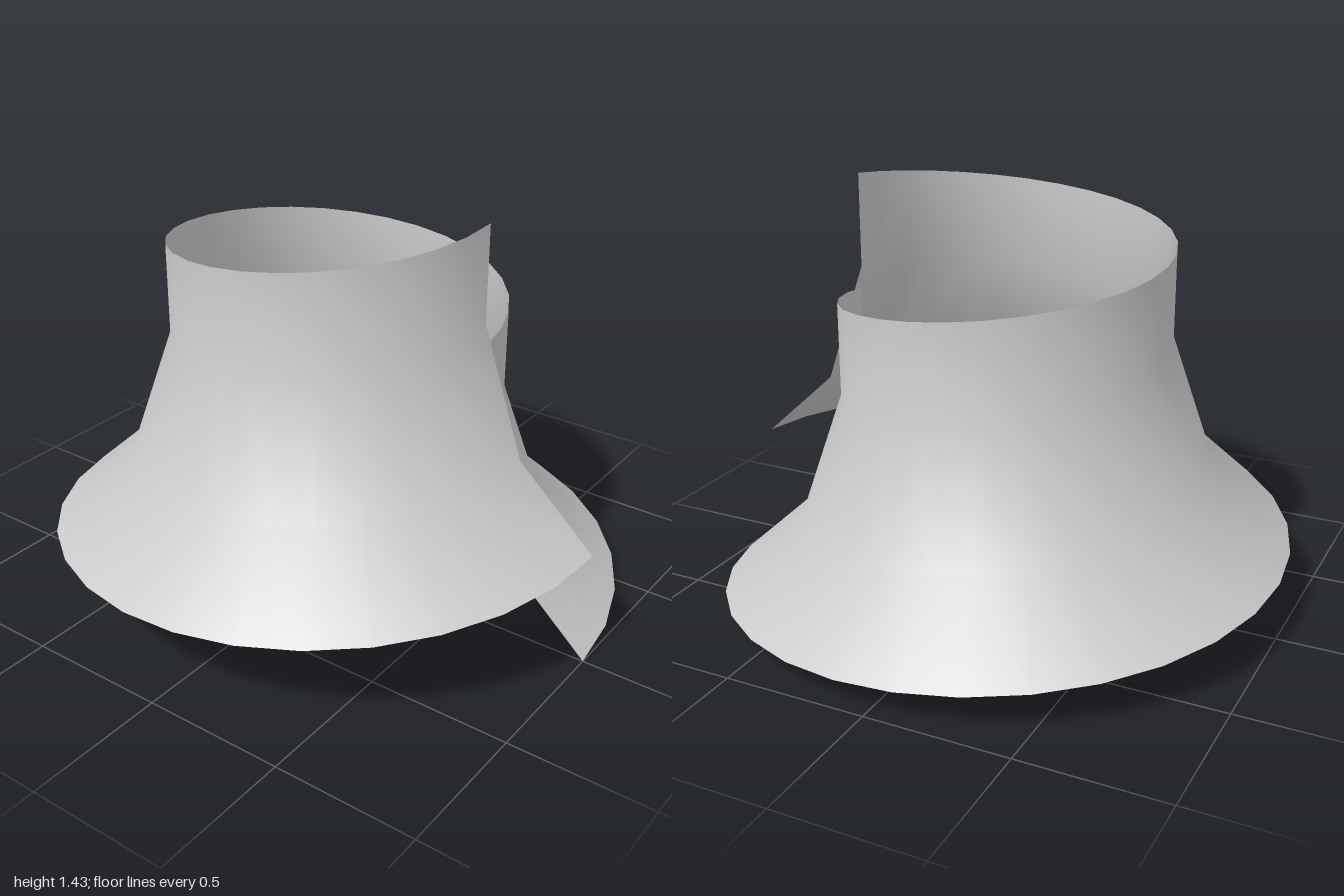
import * as THREE from 'three';

const RISE = 0.41; // height gained over one full turn

export function createModel() {
  const group = new THREE.Group();
  group.name = 'spiralCollar';

  // Flared profile, from the wide hem up to the straight neck
  const profile = [[1, 0], [0.72, 0.255], [0.569, 0.695], [0.569, 1.025]]
    .map(([r, y]) => new THREE.Vector2(r, y));
  const rows = profile.length;
  const segments = 30;
  const geometry = new THREE.LatheGeometry(profile, segments);

  // Lift each column in proportion to its turn, so the ends part at the front
  const pos = geometry.attributes.position;
  for (let i = 0; i < pos.count; i++) {
    const turn = Math.floor(i / rows) / segments;
    pos.setY(i, pos.getY(i) + RISE * turn);
  }
  geometry.computeVertexNormals();

  const material = new THREE.MeshStandardMaterial({ color: 0xcccccc, side: THREE.DoubleSide });
  const shell = new THREE.Mesh(geometry, material);
  shell.name = 'flaredSpiralShell';
  group.add(shell);
  return group;
}
